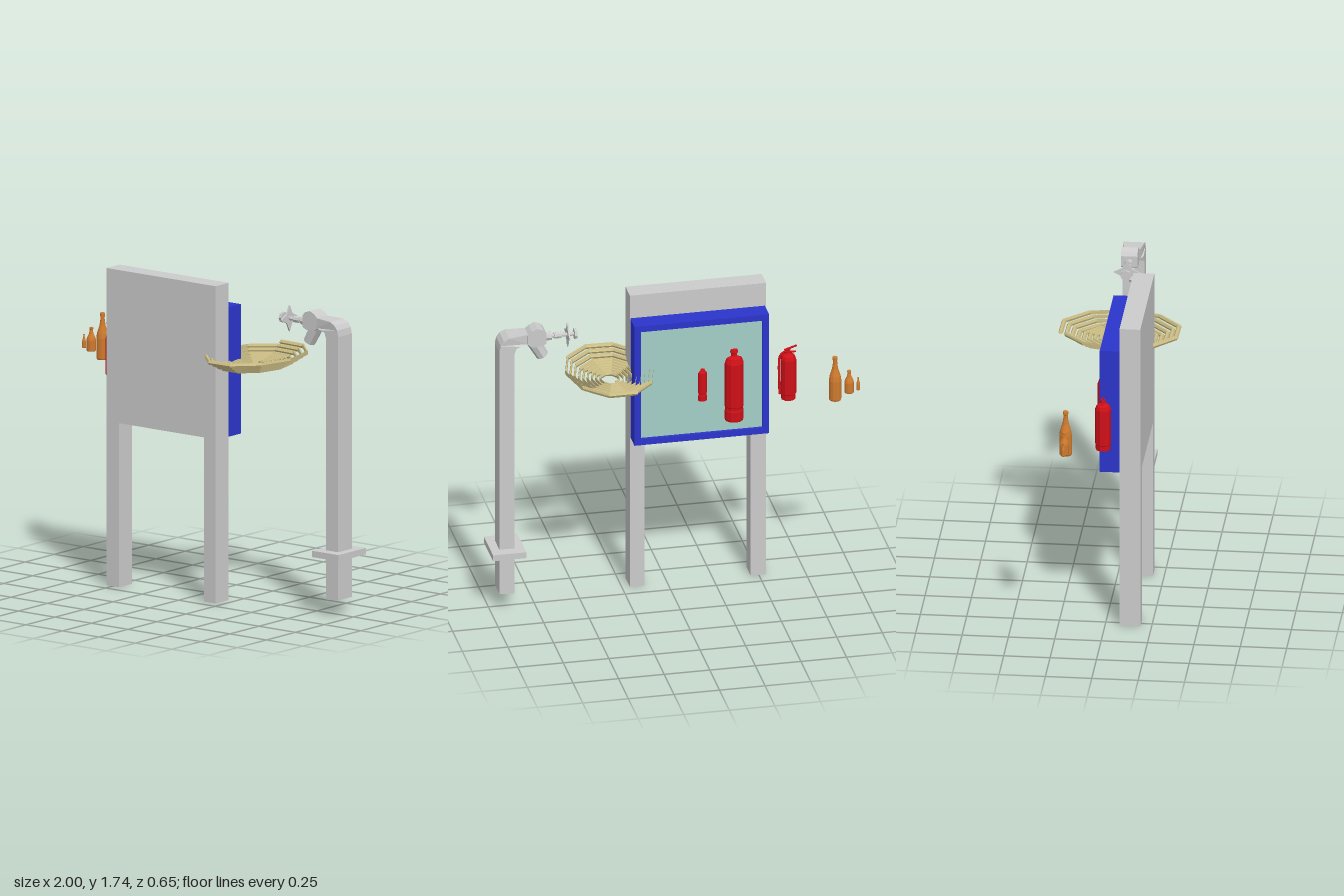
import * as THREE from 'three';

const mat = (color, extra = {}) => new THREE.MeshStandardMaterial({ color, flatShading: true, ...extra });
const GREY = mat(0xcccccc), BLUE = mat(0x2b35cc), GLASS = mat(0xa3cfc8);
const RED = mat(0xd01018), AMBER = mat(0xcf7a2e), STRAW = mat(0xcdbf86, { side: THREE.DoubleSide });

function add(parent, name, geometry, material, x = 0, y = 0, z = 0) {
  const m = new THREE.Mesh(geometry, material);
  m.name = name;
  m.position.set(x, y, z);
  parent.add(m);
  return m;
}
// box from its two extreme corners
function box(parent, name, material, [x0, y0, z0], [x1, y1, z1]) {
  return add(parent, name, new THREE.BoxGeometry(x1 - x0, y1 - y0, z1 - z0), material,
    (x0 + x1) / 2, (y0 + y1) / 2, (z0 + z1) / 2);
}
const shapeOf = pts => new THREE.Shape(pts.map(p => new THREE.Vector2(...p)));
const extrude = (pts, depth) => new THREE.ExtrudeGeometry(shapeOf(pts), { depth, bevelEnabled: false });
const lathe = (pts, sides) => new THREE.LatheGeometry(pts.map(p => new THREE.Vector2(...p)), sides);
// cylinder running between two points
function rod(parent, name, material, a, b, r0, r1, sides = 8) {
  const A = new THREE.Vector3(...a), B = new THREE.Vector3(...b), d = B.clone().sub(A);
  const m = add(parent, name, new THREE.CylinderGeometry(r1, r0, d.length(), sides), material);
  m.position.copy(A).add(B).multiplyScalar(0.5);
  m.quaternion.setFromUnitVectors(new THREE.Vector3(0, 1, 0), d.normalize());
  return m;
}

// Board standing on two legs
function stand() {
  const g = new THREE.Group();
  g.name = 'boardStand';
  add(g, 'boardWithLegs', extrude([[-0.54, 0], [-0.455, 0], [-0.455, 0.9], [0.127, 0.9],
    [0.127, 0], [0.207, 0], [0.207, 1.74], [-0.54, 1.74]], 0.112), GREY, 0, 0, 0.078);
  return g;
}

// Blue cabinet with a glazed recess on its back
function cabinet() {
  const g = new THREE.Group();
  g.name = 'cabinet';
  const x0 = -0.533, x1 = 0.205, y0 = 0.895, y1 = 1.605, b = 0.035;
  box(g, 'cabinetBody', BLUE, [x0, y0, -0.005], [x1, y1, 0.078]);
  const rim = shapeOf([[x0, y0], [x1, y0], [x1, y1], [x0, y1]]);
  rim.holes.push(shapeOf([[x0 + b, y0 + b], [x0 + b, y1 - b], [x1 - b, y1 - b], [x1 - b, y0 + b]]));
  add(g, 'cabinetRim', new THREE.ExtrudeGeometry(rim, { depth: 0.025, bevelEnabled: false }), BLUE, 0, 0, -0.03);
  box(g, 'glassPane', GLASS, [x0 + b, y0 + b, -0.012], [x1 - b, y1 - b, -0.004]);
  // cylinders half sunk into the pane
  const large = add(g, 'largeCylinder', lathe([[0, 0], [0.051, 0], [0.053, 0.01], [0.053, 0.06], [0.05, 0.065],
    [0.05, 0.08], [0.053, 0.085], [0.053, 0.34], [0.042, 0.37], [0.018, 0.38], [0.018, 0.395],
    [0.024, 0.4], [0.02, 0.418], [0, 0.422]], 12), RED, -0.345, 0.99, -0.007);
  const small = add(g, 'smallCylinder', lathe([[0, 0], [0.025, 0], [0.025, 0.03], [0.023, 0.034], [0.023, 0.042],
    [0.025, 0.046], [0.025, 0.165], [0.014, 0.18], [0.01, 0.19], [0, 0.19]], 10), RED, -0.172, 1.12, -0.008);
  small.scale.z = 0.8;
  return g;
}

// Free extinguisher with lever and hose
function extinguisher() {
  const g = new THREE.Group();
  g.name = 'extinguisher';
  g.position.set(-0.645, 1.08, 0);
  add(g, 'tank', lathe([[0, 0], [0.04, 0], [0.04, 0.03], [0.043, 0.034], [0.043, 0.235], [0.036, 0.255],
    [0.014, 0.27], [0.012, 0.29], [0, 0.29]], 10), RED);
  rod(g, 'upperLever', RED, [0.022, 0.288, 0], [-0.046, 0.31, 0], 0.006, 0.005, 6);
  rod(g, 'lowerLever', RED, [0.015, 0.272, 0], [-0.04, 0.275, 0], 0.006, 0.005, 6);
  const path = new THREE.CatmullRomCurve3([[0, 0.28], [0.03, 0.275], [0.048, 0.25], [0.052, 0.2],
    [0.05, 0.1], [0.047, 0.04]].map(p => new THREE.Vector3(...p, 0)));
  add(g, 'hose', new THREE.TubeGeometry(path, 14, 0.006, 6), RED);
  rod(g, 'nozzle', RED, [0.049, 0.09, 0], [0.046, 0.03, 0], 0.007, 0.009, 6);
  return g;
}

// Row of bottles, each the same profile at its own height and radius
function bottles() {
  const g = new THREE.Group();
  g.name = 'bottles';
  const profile = [[0, 0], [0.9, 0], [1, 0.03], [1, 0.46], [0.88, 0.56], [0.5, 0.72], [0.36, 0.84],
    [0.34, 0.92], [0.42, 0.93], [0.42, 0.99], [0.34, 1], [0, 1]];
  for (const [x, y, r, h] of [[-0.863, 1.135, 0.034, 0.255], [-0.94, 1.17, 0.026, 0.13], [-0.99, 1.18, 0.0105, 0.075]])
    add(g, 'bottle', lathe(profile.map(([a, b]) => [a * r, b * h]), 12), AMBER, x, y, -0.18);
  return g;
}

// Shallow ten-sided coiled bowl: one strand with a fixed, unrotated section
function coilBowl() {
  const turns = 9, n = turns * 10, sides = 6, pos = [], index = [];
  for (let i = 0; i <= n; i++) {
    const u = i / n, a = (i * 2 + 1) * Math.PI / 10 + Math.PI, r = 0.055 + 0.28 * u;
    const y = 1.292 + 0.016 * u + 0.048 * Math.max(0, (u - 0.62) / 0.38);
    for (let j = 0; j < sides; j++) {
      const b = j / sides * Math.PI * 2;
      pos.push(0.328 + Math.sin(a) * r * 0.755 + 0.003 * Math.cos(b) * Math.sin(a),
        y + 0.013 * Math.sin(b), Math.cos(a) * r + 0.013 * Math.cos(b));
      if (i < n) {
        const p = i * sides + j, q = i * sides + (j + 1) % sides;
        index.push(p, q, p + sides, q, q + sides, p + sides);
      }
    }
  }
  const geo = new THREE.BufferGeometry();
  geo.setAttribute('position', new THREE.Float32BufferAttribute(pos, 3));
  geo.setIndex(index);
  geo.computeVertexNormals();
  const g = new THREE.Group();
  g.name = 'coilBowl';
  add(g, 'coil', geo, STRAW);
  return g;
}

// Standpipe with flange, bent neck and tap
function standpipe() {
  const g = new THREE.Group();
  g.name = 'standpipe';
  const pipe = extrude([[0.866, 0.09], [0.95, 0.095], [0.95, 1.54], [0.943, 1.575], [0.925, 1.6], [0.895, 1.615],
    [0.79, 1.62], [0.79, 1.565], [0.835, 1.56], [0.858, 1.548], [0.866, 1.52]], 0.118);
  const p = pipe.attributes.position;
  for (let i = 0; i < p.count; i++) {
    const k = p.getX(i) < 0.8 ? 0.75 : 1;
    p.setZ(i, 0.01 + (p.getZ(i) - 0.059) * k);
  }
  pipe.computeVertexNormals();
  add(g, 'pipe', pipe, GREY);
  box(g, 'flange', GREY, [0.815, 0.325, -0.11], [0.998, 0.36, 0.126]);
  // tap body and spout
  add(g, 'tapBody', extrude([[0.69, 1.56], [0.715, 1.545], [0.77, 1.545], [0.795, 1.565], [0.795, 1.615],
    [0.77, 1.638], [0.74, 1.652], [0.705, 1.64], [0.69, 1.62]], 0.09), GREY, 0, 0, -0.04);
  rod(g, 'spout', GREY, [0.755, 1.565, 0.005], [0.703, 1.472, 0.005], 0.038, 0.034);
  // stem with collars
  for (const [x0, x1, r] of [[0.5, 0.7, 0.011], [0.655, 0.695, 0.024], [0.6, 0.64, 0.018], [0.515, 0.53, 0.03]])
    rod(g, 'stem', GREY, [x1, 1.582, 0.005], [x0 + (x0 === 0.5 ? 0.03 : 0), 1.582, 0.005], r, r);
  // four-pointed hand wheel
  const star = Array.from({ length: 8 }, (_, i) => {
    const a = i * Math.PI / 4, r = i % 2 ? 0.034 : 0.072;
    return [Math.cos(a) * r, Math.sin(a) * r];
  });
  const wheel = add(g, 'handWheel', extrude(star, 0.008), GREY, 0.56, 1.582, 0.005);
  wheel.rotation.y = Math.PI / 2;
  return g;
}

export function createModel() {
  const model = new THREE.Group();
  model.name = 'safetyStation';
  model.add(stand(), cabinet(), extinguisher(), bottles(), coilBowl(), standpipe());
  return model;
}
